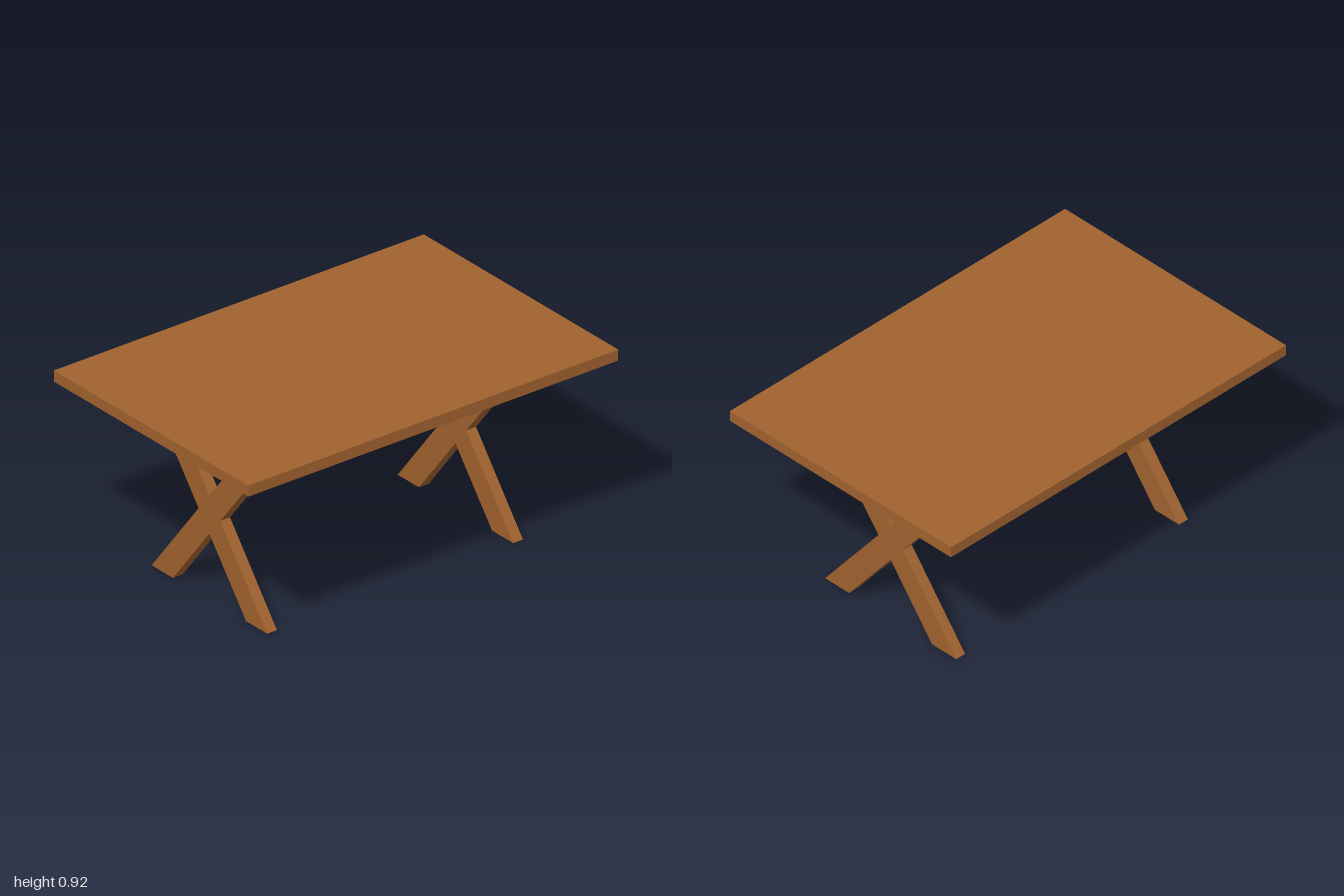
import * as THREE from 'three';

export function createModel() {
  const model = new THREE.Group();
  model.name = 'table';
  const wood = new THREE.MeshStandardMaterial({ color: 0xa0622f });
  wood.name = 'brown wood';

  // Flat rectangular top
  const top = new THREE.Mesh(new THREE.BoxGeometry(2, 0.053, 1.334), wood);
  top.name = 'tableTop';
  top.position.y = 0.8935;
  model.add(top);

  // X-shaped trestle outline as (-z, y), cut level at the floor and the top
  const outline = [
    [-0.405, 0], [-0.26, 0], [-0.009, 0.316], [0.241, 0], [0.387, 0], [0.065, 0.408],
    [0.431, 0.867], [0.285, 0.867], [-0.009, 0.5], [-0.303, 0.867], [-0.449, 0.867], [-0.083, 0.408],
  ];
  const shape = new THREE.Shape(outline.map(([u, y]) => new THREE.Vector2(u, y)));
  const thickness = 0.053;
  const trestle = new THREE.ExtrudeGeometry(shape, { depth: thickness, bevelEnabled: false });
  trestle.translate(0, 0, -thickness / 2);
  trestle.rotateY(Math.PI / 2);

  for (const side of [-1, 1]) {
    const legs = new THREE.Mesh(trestle, wood);
    legs.name = side > 0 ? 'leftCrossLegs' : 'rightCrossLegs';
    legs.position.x = side * 0.665;
    model.add(legs);
  }
  return model;
}
